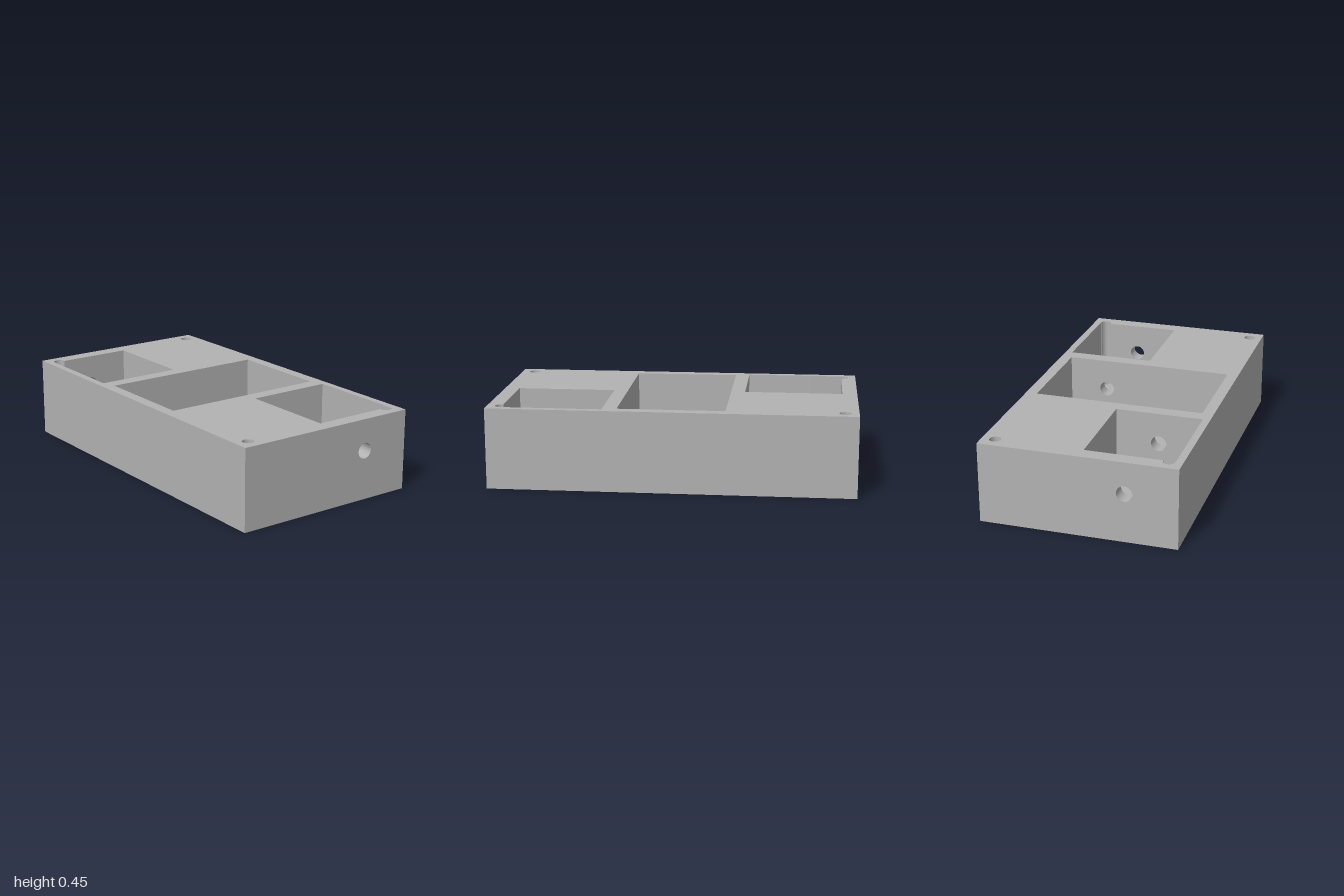
import * as THREE from 'three';
import { mergeGeometries, toCreasedNormals } from 'three/addons/utils/BufferGeometryUtils.js';

const DEPTH = 0.536, HEIGHT = 0.447, FLOOR = 0.04; // half depth, height, floor thickness
const SCREW = { x: 0.925, z: 0.463, r: 0.031 };
const BORE = { y: 0.272, z: 0.253, r: 0.043 };

// Plan points are (x, z) pairs; contours of openings run so that walls face inward.
const P = (x, z) => new THREE.Vector2(x, z);

function arc(cx, cz, r, from, to, n) {
  return Array.from({ length: n + 1 }, (_, i) => {
    const t = from + ((to - from) * i) / n;
    return P(cx + r * Math.cos(t), cz + r * Math.sin(t));
  });
}
const circle = (cx, cz, r) => arc(cx, cz, r, 0, Math.PI * 2, 32).slice(0, 32);
const turned = (pts) => pts.map((p) => P(-p.x, -p.y)); // half turn about y

function shapeOf(outline, holes) {
  const shape = new THREE.Shape(outline);
  shape.holes = holes.map((h) => new THREE.Path(h));
  return new THREE.ShapeGeometry(shape);
}

// Horizontal face with openings, facing up or down
function cap(outline, holes, y, up = true) {
  const s = up ? -1 : 1;
  const map = (pts) => pts.map((p) => P(p.x, s * p.y));
  return shapeOf(map(outline), holes.map(map)).rotateX((s * Math.PI) / 2).translate(0, y, 0);
}

// Vertical walls along a closed contour; long side walls are pierced by the cable bore
function walls(pts, y0, y1) {
  const parts = pts.map((a, i) => {
    const b = pts[(i + 1) % pts.length];
    const len = a.distanceTo(b);
    const u = new THREE.Vector3(b.x - a.x, 0, b.y - a.y).normalize();
    const up = new THREE.Vector3(0, 1, 0);
    const holes = [];
    if (Math.abs(u.x) < 0.001 && len > 0.2) {
      const boreZ = -Math.sign(a.x) * BORE.z;
      holes.push(circle(Math.abs(boreZ - a.y), BORE.y - y0, BORE.r));
    }
    const face = shapeOf([P(0, 0), P(len, 0), P(len, y1 - y0), P(0, y1 - y0)], holes);
    const m = new THREE.Matrix4().makeBasis(u, up, u.clone().cross(up)).setPosition(a.x, y0, a.y);
    return face.applyMatrix4(m);
  });
  return toCreasedNormals(mergeGeometries(parts), Math.PI / 6);
}

export function createModel() {
  const group = new THREE.Group();
  const grey = new THREE.MeshStandardMaterial({ color: 0xb2b2b2 });
  grey.name = 'plain grey';
  const add = (name, geometry) => {
    const mesh = new THREE.Mesh(geometry, grey);
    mesh.name = name;
    group.add(mesh);
  };

  const outline = [P(-1, DEPTH), P(1, DEPTH), P(1, -DEPTH), P(-1, -DEPTH)];

  // Pocket contours: a large middle one and two small ones notched by a screw hole
  const middle = [P(0.292, 0.473), P(-0.292, 0.473), P(-0.292, -0.473), P(0.292, -0.473)];
  const x0 = 0.371, x1 = 0.917, z0 = -0.496, z1 = -0.014;
  const theta = Math.acos((x1 - SCREW.x) / SCREW.r);
  const leftPocket = [
    P(x1, z1), P(x0, z1), P(x0, z0), P(x1, z0),
    ...arc(SCREW.x, -SCREW.z, SCREW.r, -theta, theta, 20),
  ];
  const rightPocket = turned(leftPocket);

  // Screw holes: two open into the small pockets, two run the full height
  const notchHole = circle(SCREW.x, -SCREW.z, SCREW.r);
  const notchHoles = [notchHole, turned(notchHole)];
  const fullHole = circle(SCREW.x, SCREW.z, SCREW.r);
  const fullHoles = [fullHole, turned(fullHole)];

  // Outer shell
  add('outerWalls', walls(outline, 0, HEIGHT));
  add('topFace', cap(outline, [middle, leftPocket, rightPocket, ...fullHoles], HEIGHT));
  add('bottomFace', cap(outline, [...notchHoles, ...fullHoles], 0, false));

  // Pocket interiors; the small floors are cut by the notch arc of their screw hole
  add('middlePocketWalls', walls(middle, FLOOR, HEIGHT));
  add('middlePocketFloor', cap(middle, [], FLOOR));
  const floorOutline = [
    P(x1, z1), P(x0, z1), P(x0, z0), P(x1, z0),
    ...arc(SCREW.x, -SCREW.z, SCREW.r, -theta, theta - Math.PI * 2, 20),
  ];
  [['left', leftPocket, floorOutline], ['right', rightPocket, turned(floorOutline)]].forEach(([side, pocket, floor]) => {
    add(side + 'PocketWalls', walls(pocket, FLOOR, HEIGHT));
    add(side + 'PocketFloor', cap(floor, [], FLOOR));
  });

  // Screw hole linings
  fullHoles.forEach((h) => add('screwHole', walls(h, 0, HEIGHT)));
  notchHoles.forEach((h) => add('pocketScrewHole', walls(h, 0, FLOOR)));

  // Cable bores through the end walls and the dividers
  const bore = (z, from, to) => walls(circle(-BORE.y, z, BORE.r), from, to).rotateZ(-Math.PI / 2);
  [[x1, 1], [0.292, x0]].forEach(([from, to]) => {
    add('cableBore', bore(-BORE.z, from, to));
    add('cableBore', bore(BORE.z, -to, -from));
  });

  return group;
}
